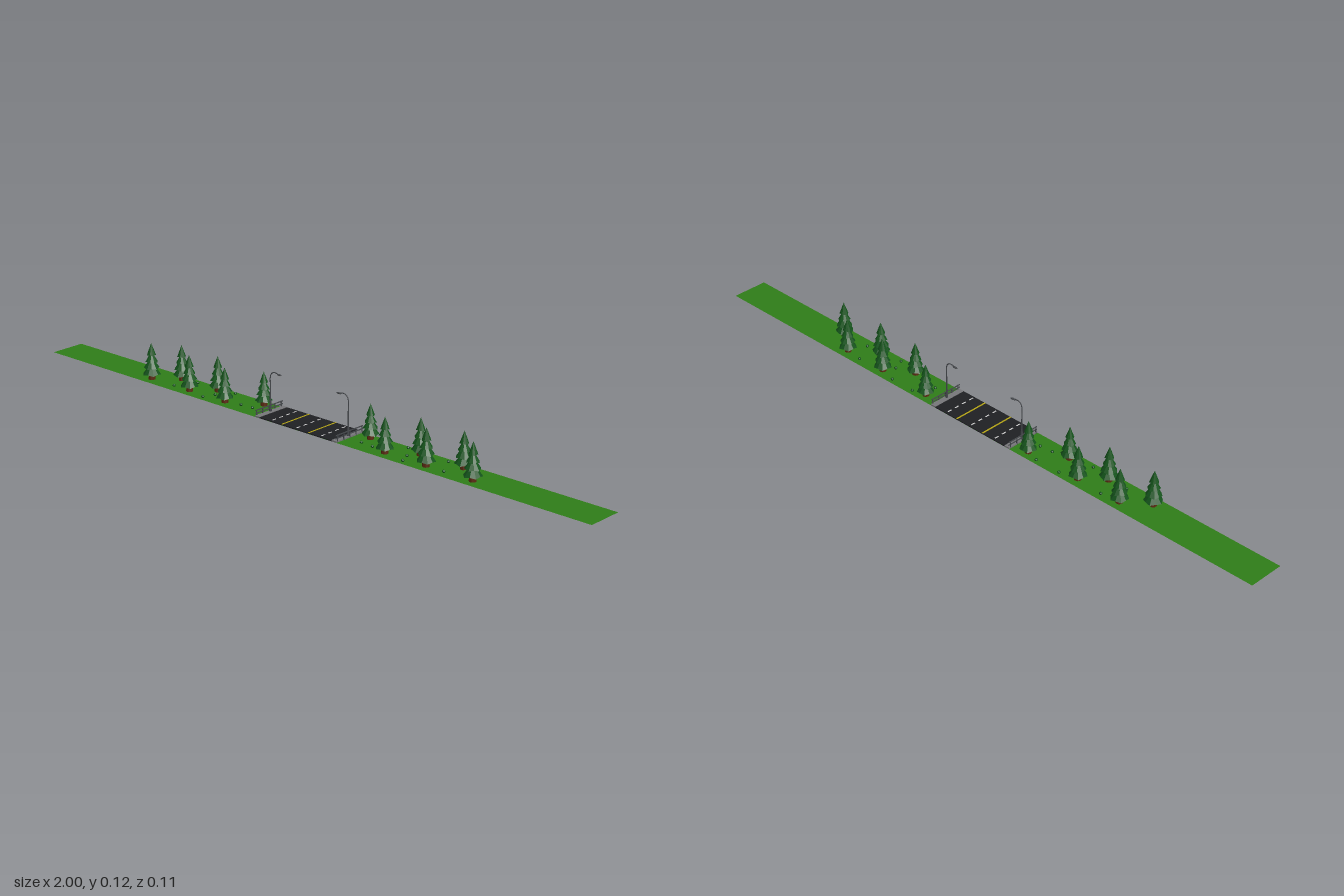
import * as THREE from 'three';

const mat = (color, extra = {}) => new THREE.MeshStandardMaterial({ color, ...extra });

export function createModel() {
  const root = new THREE.Group();
  const grass = mat(0x2f7d18, { side: THREE.DoubleSide });
  const leaf = mat(0x14531b, { flatShading: true });
  const bark = mat(0x5a2a12, { flatShading: true });
  const asphalt = mat(0x1f2023);
  const white = mat(0xdddddd);
  const yellow = mat(0xb5a414);
  const concrete = mat(0x77777a);
  const steel = mat(0x45484c);
  const lampGlass = mat(0xd8d8c8);

  const add = (parent, name, geometry, material, x = 0, y = 0, z = 0) => {
    const mesh = new THREE.Mesh(geometry, material);
    mesh.name = name;
    mesh.position.set(x, y, z);
    parent.add(mesh);
    return mesh;
  };
  const box = (w, h, d) => new THREE.BoxGeometry(w, h, d);

  // Long strip of lawn
  add(root, 'ground', new THREE.PlaneGeometry(2, 0.112).rotateX(-Math.PI / 2), grass);

  // Road with lane lines
  const road = new THREE.Group();
  road.name = 'road';
  root.add(road);
  add(road, 'asphalt', box(0.27, 0.003, 0.112), asphalt, 0, 0.0017);
  for (const x of [-0.05, 0.05]) {
    add(road, 'yellowLine', box(0.005, 0.0006, 0.112), yellow, x, 0.0034);
  }
  for (const x of [-0.092, 0, 0.092]) {
    for (let i = 0; i < 4; i++) {
      add(road, 'laneDash', box(0.004, 0.0006, 0.014), white, x, 0.0034, -0.042 + i * 0.028);
    }
  }

  // Conifer: trunk and overlapping cones with a ragged hem
  const tiers = [[0.015, 0.027, 0.038], [0.034, 0.0235, 0.035], [0.053, 0.0185, 0.032], [0.073, 0.0135, 0.037]];
  const coneGeos = tiers.map(([y, r, h]) => {
    const geo = new THREE.ConeGeometry(r, h, 10, 1);
    const p = geo.attributes.position;
    for (let i = 0; i < p.count; i++) {
      if (p.getY(i) > 0 || Math.hypot(p.getX(i), p.getZ(i)) < r / 2) continue;
      const side = Math.round(Math.atan2(p.getX(i), p.getZ(i)) / (Math.PI / 5));
      const s = side % 2 ? 0.91 : 1;
      p.setXYZ(i, p.getX(i) * s, p.getY(i) + (side % 2 ? 0.003 : 0), p.getZ(i) * s);
    }
    return geo.translate(0, y + h / 2, 0);
  });
  const trunkGeo = new THREE.CylinderGeometry(0.009, 0.0105, 0.02, 8);
  function addTree(x, z, scale, turn) {
    const tree = new THREE.Group();
    tree.name = 'tree';
    add(tree, 'trunk', trunkGeo, bark, 0, 0.01);
    coneGeos.forEach((geo, i) => {
      add(tree, 'foliage', geo, leaf).rotation.y = i * 0.45;
    });
    tree.position.set(x, 0, z);
    tree.rotation.y = turn;
    tree.scale.setScalar(scale);
    root.add(tree);
  }
  const trees = [
    [0.2, -0.03, 0.93], [0.3, 0.026, 0.95], [0.38, -0.027, 0.98],
    [0.443, 0.026, 1], [0.528, -0.027, 0.98], [0.6, 0.026, 1.01],
  ];

  // Low tufts scattered in the lawn
  const tuftGeo = new THREE.IcosahedronGeometry(0.005, 0);
  const tufts = [
    [0.205, 0.012], [0.242, -0.043], [0.247, 0.015], [0.325, -0.042],
    [0.36, 0.005], [0.375, 0.04], [0.47, -0.035], [0.505, 0.028],
  ];

  // Curved lamp arm reaching over the road
  const armCurve = new THREE.CatmullRomCurve3([
    [0, 0.085, 0], [0, 0.105, 0], [-0.005, 0.117, 0], [-0.015, 0.122, 0], [-0.029, 0.121, 0],
  ].map((p) => new THREE.Vector3(...p)));
  const armGeo = new THREE.TubeGeometry(armCurve, 16, 0.0015, 8);

  for (const s of [-1, 1]) {
    trees.forEach(([x, z, k], i) => addTree(s * x, z, k, i * 0.7));
    for (const [x, z] of tufts) add(root, 'tuft', tuftGeo, leaf, s * x, 0.003, z);

    // Kerb beside the road
    add(root, 'kerb', box(0.018, 0.004, 0.112), concrete, s * 0.144, 0.0022);

    // Guard rail
    const rail = new THREE.Group();
    rail.name = 'guardRail';
    root.add(rail);
    for (const y of [0.011, 0.0195]) add(rail, 'rail', box(0.002, 0.0028, 0.11), steel, s * 0.15, y);
    for (let i = 0; i < 5; i++) {
      add(rail, 'railPost', box(0.0025, 0.02, 0.0025), steel, s * 0.152, 0.01, -0.05 + i * 0.025);
    }

    // Street lamp
    const lamp = new THREE.Group();
    lamp.name = 'streetLamp';
    lamp.position.x = s * 0.146;
    lamp.rotation.y = s > 0 ? 0 : Math.PI;
    root.add(lamp);
    add(lamp, 'lampBase', new THREE.CylinderGeometry(0.0025, 0.004, 0.035, 10), steel, 0, 0.0175);
    add(lamp, 'lampPole', new THREE.CylinderGeometry(0.0015, 0.0022, 0.06, 10), steel, 0, 0.06);
    add(lamp, 'lampArm', armGeo, steel);
    const head = add(lamp, 'lampHead', new THREE.SphereGeometry(1, 12, 8), steel, -0.034, 0.119);
    head.scale.set(0.009, 0.0025, 0.0035);
    const glass = add(lamp, 'lampGlass', new THREE.SphereGeometry(1, 12, 8), lampGlass, -0.035, 0.1178);
    glass.scale.set(0.006, 0.002, 0.0025);
  }
  return root;
}
